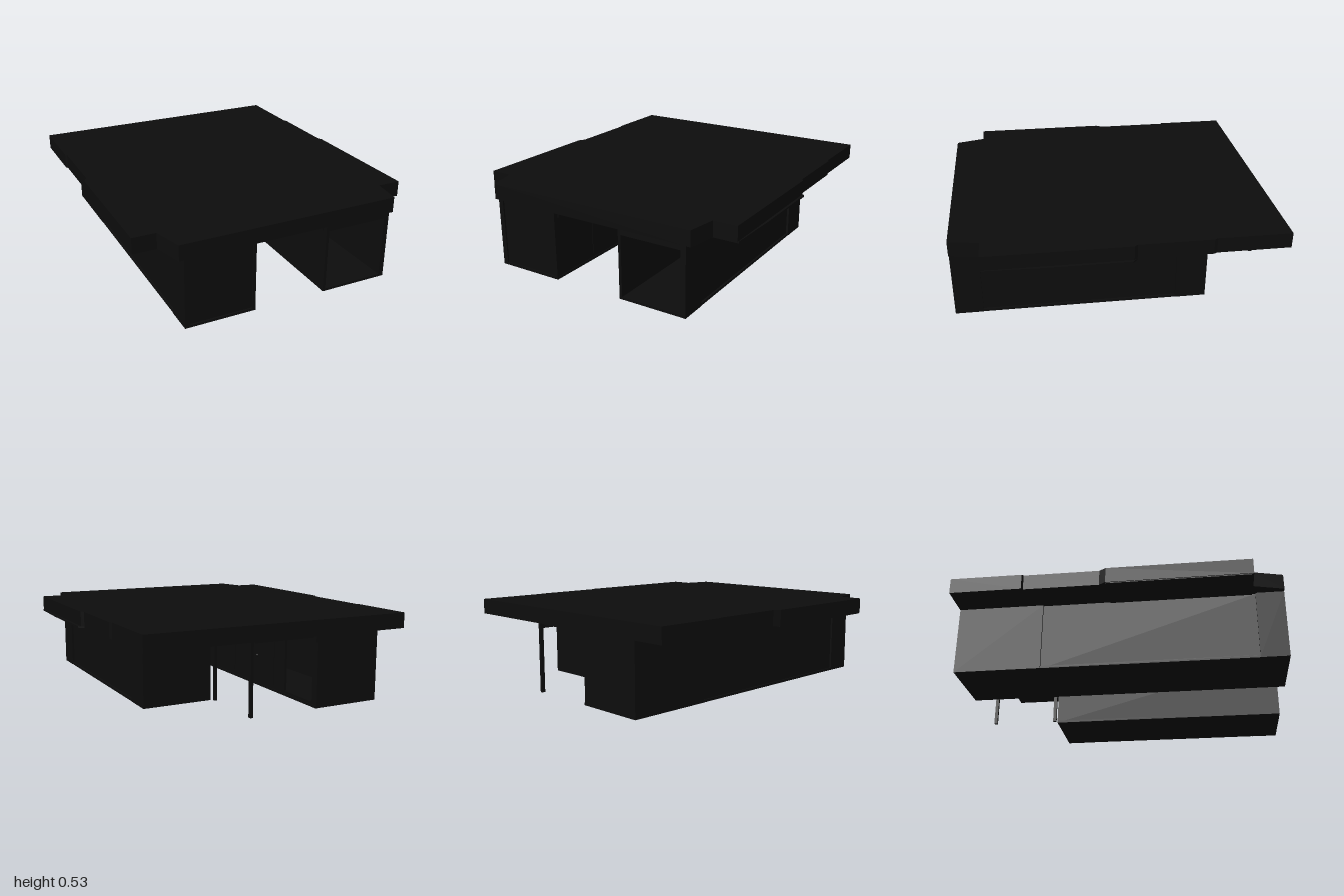
import * as THREE from 'three';

export function createModel() {
  const model = new THREE.Group();
  const black = new THREE.MeshStandardMaterial({ color: 0x0d0d0d });
  black.name = 'matte black';

  const add = (geometry, name, parent = model) => {
    const mesh = new THREE.Mesh(geometry, black);
    mesh.name = name;
    parent.add(mesh);
    return mesh;
  };
  // box given by its limits on each axis
  const box = (name, [x0, x1], [y0, y1], [z0, z1], parent) =>
    add(new THREE.BoxGeometry(x1 - x0, y1 - y0, z1 - z0), name, parent)
      .position.set((x0 + x1) / 2, (y0 + y1) / 2, (z0 + z1) / 2);
  // horizontal slab from a plan outline of [x, z] points
  const slab = (name, points, y0, y1) => {
    const shape = new THREE.Shape(points.map(([x, z]) => new THREE.Vector2(x, z)));
    const g = new THREE.ExtrudeGeometry(shape, { depth: y1 - y0, bevelEnabled: false });
    g.rotateX(Math.PI / 2).translate(0, y1, 0);
    add(g, name);
  };

  // roof with stepped edges and tapered front
  slab('roof', [
    [-0.88, -1], [0.855, -1], [0.855, -0.55], [0.865, -0.53], [0.865, -0.08], [0.88, -0.06],
    [0.88, 0.815], [0.73, 0.815], [0.7, 1], [-0.7, 1], [-0.75, 0.815], [-0.895, 0.815],
    [-0.895, -0.05], [-0.87, -0.09], [-0.87, -0.55], [-0.88, -0.56]
  ], 0.43, 0.527);
  slab('roofLip', [
    [0.6, -0.08], [0.865, -0.08], [0.895, -0.05], [0.895, 0.48], [0.89, 0.62], [0.885, 0.81], [0.6, 0.81]
  ], 0.425, 0.435);
  box('leftRoofLip', [-0.89, -0.6], [0.425, 0.435], [-0.05, 0.81]);
  box('ceiling', [-0.66, 0.18], [0.42, 0.43], [-0.98, 0.98]);

  // long wing: closed ends, doorway in the inner wall near the back
  const H = 0.43;
  const wing = new THREE.Group();
  wing.name = 'longWing';
  model.add(wing);
  box('floor', [-0.67, -0.23], [0, 0.015], [-1, 1], wing);
  box('outerWall', [-0.66, -0.64], [0, H], [-0.47, 0.83], wing);
  box('outerFrontCorner', [-0.672, -0.64], [0, H], [0.83, 1], wing);
  box('outerBackCorner', [-0.672, -0.64], [0, H], [-1, -0.47], wing);
  box('backWall', [-0.66, -0.24], [0, H], [-1, -0.98], wing);
  box('frontWall', [-0.66, -0.24], [0, H], [0.97, 0.99], wing);
  box('frontInnerCorner', [-0.25, -0.232], [0, H], [0.96, 1], wing);
  const wall = new THREE.Shape();
  wall.moveTo(-1, 0).lineTo(0.97, 0).lineTo(0.97, H).lineTo(-1, H).closePath();
  const opening = new THREE.Path();
  opening.moveTo(-0.95, 0.03).lineTo(-0.95, 0.38).lineTo(-0.66, 0.38).lineTo(-0.66, 0.03).closePath();
  wall.holes.push(opening);
  add(new THREE.ExtrudeGeometry(wall, { depth: 0.015, bevelEnabled: false })
    .rotateY(-Math.PI / 2).translate(-0.235, 0, 0), 'innerWall', wing);
  box('innerTrim', [-0.24, -0.222], [0.395, H], [-1, 0.97], wing);

  // door panels and knobs on the passage side
  for (const [z0, z1] of [[-0.54, -0.14], [-0.04, 0.65]]) {
    box('doorPanel', [-0.236, -0.231], [0.04, 0.37], [z0, z1], wing);
    const knob = add(new THREE.SphereGeometry(0.01, 12, 8), 'doorKnob', wing);
    knob.position.set(-0.23, 0.2, (z0 + z1) / 2);
  }

  // short wing: hollow, open at the front
  const short = new THREE.Group();
  short.name = 'shortWing';
  model.add(short);
  box('floor', [0.23, 0.67], [0, 0.015], [-0.55, 1], short);
  box('innerWall', [0.23, 0.248], [0, H], [-0.55, 1], short);
  box('outerWall', [0.64, 0.658], [0, H], [-0.36, 0.83], short);
  box('outerFrontCorner', [0.64, 0.672], [0, H], [0.83, 1], short);
  box('outerBackCorner', [0.64, 0.672], [0, H], [-0.55, -0.36], short);
  box('backWall', [0.23, 0.67], [0, H], [-0.55, -0.53], short);
  box('frontHeader', [0.23, 0.67], [0.4, H], [0.97, 1], short);
  box('innerTrim', [0.222, 0.24], [0.395, H], [-0.55, 0.97], short);

  // framed screen behind the short wing
  for (const z of [-1, -0.575]) box('screenPost', [0.197, 0.214], [0, H], [z, z + 0.022]);
  box('screenTopRail', [0.197, 0.214], [0.4, H], [-1, -0.55]);

  return model;
}
